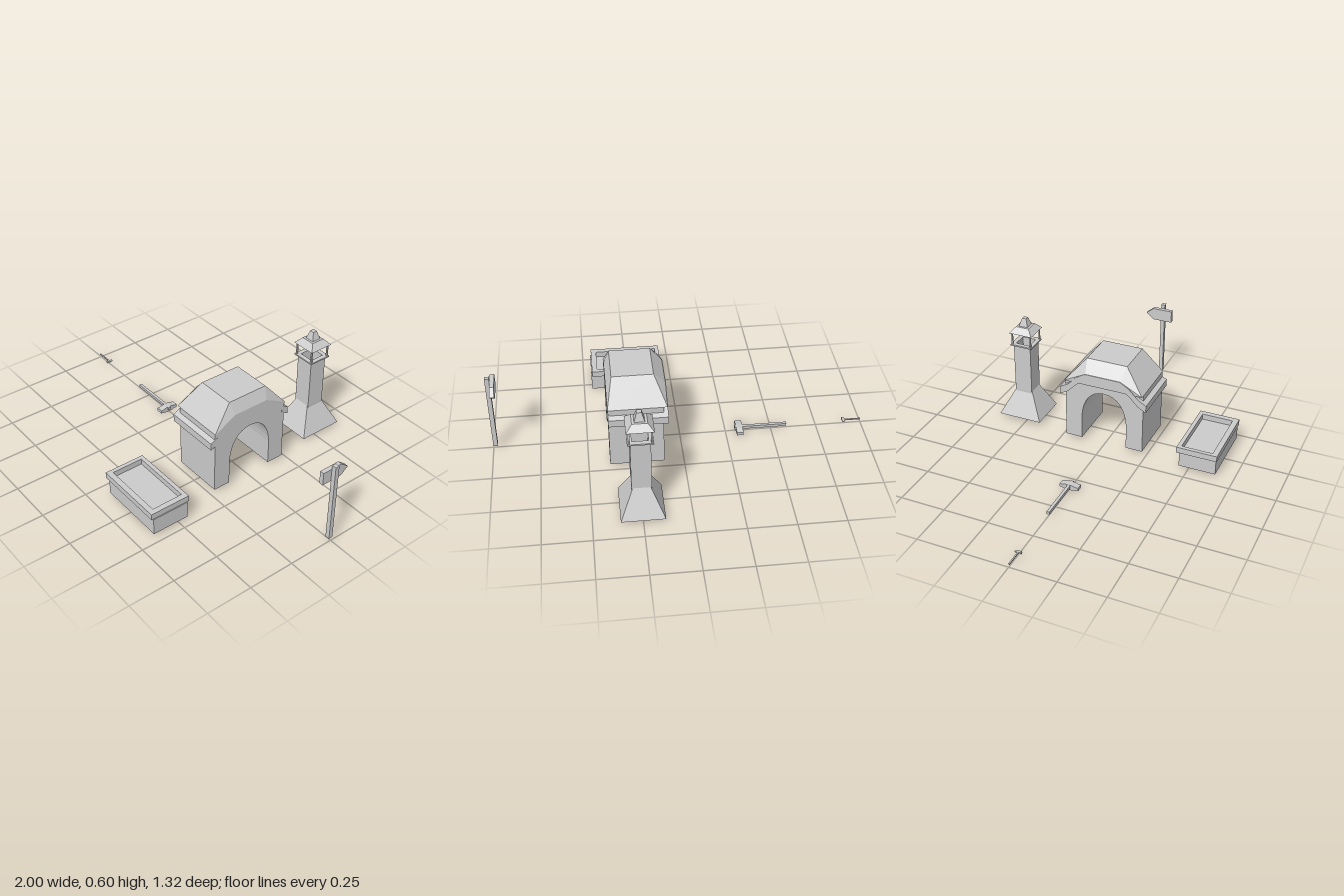
import * as THREE from 'three';
import { ConvexGeometry } from 'three/addons/geometries/ConvexGeometry.js';

const material = new THREE.MeshStandardMaterial({ color: 0xcccccc, flatShading: true, side: THREE.DoubleSide });

export function createModel() {
  const root = new THREE.Group();
  const group = (name) => {
    const g = new THREE.Group();
    g.name = name;
    root.add(g);
    return g;
  };
  const add = (parent, name, geometry) => {
    const mesh = new THREE.Mesh(geometry, material);
    mesh.name = name;
    parent.add(mesh);
    return mesh;
  };
  // Box given by its limits on each axis
  const box = (x0, x1, y0, y1, z0, z1) =>
    new THREE.BoxGeometry(x1 - x0, y1 - y0, z1 - z0)
      .translate((x0 + x1) / 2, (y0 + y1) / 2, (z0 + z1) / 2);
  const shapeOf = (pts) => new THREE.Shape(pts.map(([a, b]) => new THREE.Vector2(a, b)));
  // Profile in (z, y), extruded from x0 to x1
  const alongX = (shape, x0, x1) =>
    new THREE.ExtrudeGeometry(shape, { depth: x1 - x0, bevelEnabled: false, curveSegments: 8 })
      .rotateY(-Math.PI / 2).translate(x1, 0, 0);
  // Square turned form from (half width, y) points
  const square = (pts) =>
    new THREE.LatheGeometry(pts.map(([r, y]) => new THREE.Vector2(r * Math.SQRT2, y)), 4)
      .rotateY(Math.PI / 4);

  // Trough: solid body with a raised rim around a sunken top
  const trough = group('trough');
  add(trough, 'troughBody', box(0.075, 0.455, 0.015, 0.108, 0.447, 0.65));
  const rim = shapeOf([[0.058, -0.658], [0.45, -0.658], [0.45, -0.435], [0.058, -0.435]]);
  rim.holes.push(shapeOf([[0.08, -0.628], [0.08, -0.457], [0.42, -0.457], [0.42, -0.628]]));
  add(trough, 'troughRim', new THREE.ExtrudeGeometry(rim, { depth: 0.033, bevelEnabled: false })
    .rotateX(-Math.PI / 2).translate(0, 0.107, 0));

  // Forge: arched tunnel body
  const forge = group('forge');
  const arch = new THREE.Shape();
  arch.moveTo(-0.225, 0.022);
  arch.lineTo(-0.13, 0.022);
  arch.lineTo(-0.13, 0.16);
  arch.bezierCurveTo(-0.125, 0.26, -0.08, 0.33, 0, 0.33);
  arch.bezierCurveTo(0.08, 0.33, 0.125, 0.26, 0.13, 0.16);
  arch.lineTo(0.13, 0.022);
  arch.lineTo(0.225, 0.022);
  arch.lineTo(0.225, 0.375);
  arch.lineTo(0.11, 0.435);
  arch.lineTo(-0.11, 0.435);
  arch.lineTo(-0.225, 0.375);
  add(forge, 'archBody', alongX(arch, 0.105, 0.388));

  // Sloped hood on top of the arch
  const hood = [];
  for (const s of [-1, 1]) {
    for (const x of [0.085, 0.39]) {
      hood.push(new THREE.Vector3(x, 0.375, s * 0.225), new THREE.Vector3(x, 0.44, s * 0.1));
    }
    for (const x of [0.145, 0.36]) hood.push(new THREE.Vector3(x, 0.505, s * 0.115));
  }
  add(forge, 'hood', new ConvexGeometry(hood));

  // Eave over the rear mouth, and sloping ledges along both sides
  const eaveTop = [[0.25, 0.33], [0.205, 0.355], [0.15, 0.41], [0.1, 0.44]];
  const mirrored = (pts) => pts.map(([z, y]) => [-z, y]).reverse();
  const upper = [...eaveTop, ...mirrored(eaveTop)];
  const lower = upper.map(([z, y]) => [z * 0.99, y - 0.042]).reverse();
  add(forge, 'eave', alongX(shapeOf([...upper, ...lower]), 0.082, 0.108));
  for (const s of [-1, 1]) {
    const ledge = [[0.21, 0.35], [0.25, 0.33], [0.25, 0.29], [0.21, 0.31]];
    add(forge, 'sideLedge', alongX(shapeOf(ledge.map(([z, y]) => [s * z, y])), 0.085, 0.389));
  }

  // Chimney: flared base, hollow shaft, collar, posts and stepped cap
  const chimney = group('chimney');
  chimney.position.set(0.25, 0, -0.535);
  add(chimney, 'flaredBase', square([[0.04, 0.022], [0.125, 0.022], [0.05, 0.172]])).scale.x = 0.89;
  add(chimney, 'shaft', square([[0.04, 0.022], [0.05, 0.17], [0.05, 0.455], [0.04, 0.455], [0.04, 0.022]]));
  add(chimney, 'collar', square([[0.04, 0.453], [0.064, 0.453], [0.064, 0.461], [0.04, 0.461], [0.04, 0.453]]));
  for (const x of [-0.055, 0.055]) {
    for (const z of [-0.055, 0.055]) {
      add(chimney, 'post', box(x - 0.004, x + 0.004, 0.46, 0.532, z - 0.004, z + 0.004));
    }
  }
  add(chimney, 'capRoof', square([[0, 0.53], [0.068, 0.53], [0.038, 0.563], [0, 0.563]]));
  add(chimney, 'capTop', square([[0, 0.562], [0.026, 0.562], [0.012, 0.608], [0, 0.608]]));

  // Signpost with an arrow board
  const sign = group('signpost');
  add(sign, 'signPole', box(0.976, 1, 0.02, 0.463, -0.01, 0.012));
  add(sign, 'arrowBoard', alongX(
    shapeOf([[0.063, 0.37], [0.063, 0.44], [-0.05, 0.44], [-0.093, 0.405], [-0.05, 0.37]]), 0.953, 0.976));

  // Sledgehammer lying flat, head swollen in the middle
  const sledge = group('sledgehammer');
  add(sledge, 'sledgeHandle', box(-0.585, -0.3, 0.017, 0.033, -0.008, 0.008));
  const half = [[0.052, 0.028], [0.04, 0.028], [0.018, 0.034]];
  const topEdge = [...half, ...mirrored(half)];
  const bottomEdge = topEdge.map(([z, y]) => [z, 0.038 - y]).reverse();
  add(sledge, 'sledgeHead', alongX(shapeOf([...topEdge, ...bottomEdge]), -0.343, -0.307));

  // Small hammer
  const hammer = group('smallHammer');
  add(hammer, 'hammerHandle', box(-1, -0.895, 0.02, 0.026, -0.001, 0.006));
  add(hammer, 'hammerHead', alongX(
    shapeOf([[0.019, 0.017], [0.019, 0.029], [0.008, 0.027], [-0.016, 0.025], [-0.016, 0.021], [0.008, 0.019]]),
    -0.91, -0.898));

  return root;
}
